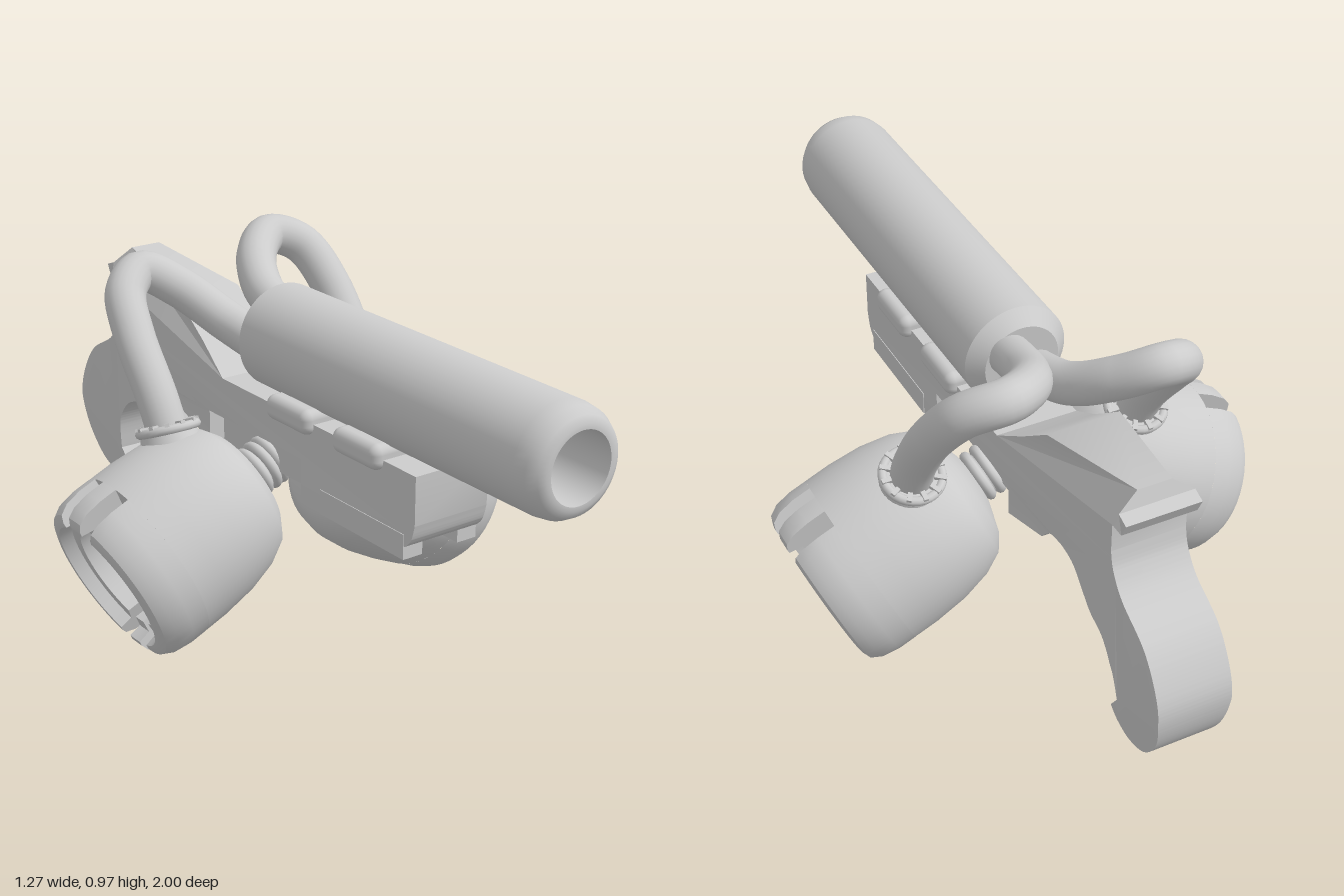
import * as THREE from 'three';
import { toCreasedNormals } from 'three/addons/utils/BufferGeometryUtils.js';
import { RoundedBoxGeometry } from 'three/addons/geometries/RoundedBoxGeometry.js';

const grey = new THREE.MeshStandardMaterial({ color: 0xcccccc });
const greyBoth = new THREE.MeshStandardMaterial({ color: 0xcccccc, side: THREE.DoubleSide });
const v2 = ([x, y]) => new THREE.Vector2(x, y);
const v3 = (p) => new THREE.Vector3(...p);

function add(parent, name, geometry, x = 0, y = 0, z = 0, material = grey) {
  const mesh = new THREE.Mesh(geometry, material);
  mesh.name = name;
  mesh.position.set(x, y, z);
  parent.add(mesh);
  return mesh;
}

const lathe = (pts, start = 0, length = Math.PI * 2, seg = 48) =>
  toCreasedNormals(new THREE.LatheGeometry(pts.map(v2), seg, start, length), 0.6);

const tube = (pts, radius, seg = 48) =>
  new THREE.TubeGeometry(new THREE.CatmullRomCurve3(pts.map(v3)), seg, radius, 20);

// Extrudes a (z, y) side profile across x, then applies a width rule
function sideExtrude(shape, width, rule = () => 1) {
  const g = new THREE.ExtrudeGeometry(shape, { depth: width, bevelEnabled: false, curveSegments: 20 });
  g.translate(0, 0, -width / 2).rotateY(-Math.PI / 2);
  const p = g.attributes.position;
  for (let i = 0; i < p.count; i++) p.setX(i, p.getX(i) * rule(p.getZ(i), p.getY(i)));
  return toCreasedNormals(g, 0.5);
}

function makeFrame() {
  const s = new THREE.Shape();
  s.moveTo(0.58, 0.625);
  s.lineTo(0.58, 0.5);
  s.splineThru([[0.565, 0.455], [0.53, 0.427], [0.47, 0.41], [0.38, 0.402]].map(v2));
  // Side recess for the neck
  s.lineTo(0.13, 0.402);
  s.lineTo(0.13, 0.52);
  s.lineTo(-0.285, 0.52);
  s.lineTo(-0.285, 0.432);
  s.lineTo(-0.435, 0.468);
  // Trigger arch and front of the grip
  s.splineThru([[-0.475, 0.508], [-0.53, 0.518], [-0.59, 0.505], [-0.64, 0.46], [-0.68, 0.425],
    [-0.74, 0.395], [-0.785, 0.33], [-0.80, 0.24]].map(v2));
  s.lineTo(-0.765, 0.19);
  // Butt and back of the grip
  s.splineThru([[-0.795, 0.16], [-0.85, 0.147], [-0.92, 0.175], [-0.98, 0.255], [-1, 0.35],
    [-0.98, 0.43], [-0.92, 0.515], [-0.82, 0.575], [-0.775, 0.63], [-0.76, 0.68]].map(v2));
  // Spur and sloping top
  for (const [z, y] of [[-0.76, 0.757], [-0.80, 0.757], [-0.818, 0.795], [-0.785, 0.807],
    [-0.77, 0.845], [-0.45, 0.79], [-0.33, 0.70], [-0.22, 0.63]]) s.lineTo(z, y);
  s.closePath();
  return sideExtrude(s, 0.22, (z, y) => {
    if (y > 0.82) return 0.4;
    if (z < -0.3) return y < 0.5 ? 0.68 + 0.2 * Math.min(1, (y - 0.147) / 0.2) : 0.88;
    return 1;
  });
}

// Outer rim of a tank between two angles, with end walls
function addRim(parent, name, start, length) {
  const profile = [[0.242, -0.13], [0.242, -0.08], [0.235, -0.035], [0.22, -0.008], [0.2, 0],
    [0.187, 0], [0.18, -0.035], [0.147, -0.035], [0.147, -0.13]];
  add(parent, name, lathe(profile, start, length, Math.max(4, Math.round(length * 8))));
  for (const a of [start, start + length]) {
    const wall = new THREE.ShapeGeometry(new THREE.Shape(profile.map(v2)));
    add(parent, name + 'Wall', wall.rotateY(a - Math.PI / 2), 0, 0, 0, greyBoth);
  }
}

function makeTank(name) {
  const side = new THREE.Group();
  side.name = name;
  const tank = new THREE.Group();
  tank.name = 'tank';
  tank.position.set(0.552, 0.203, 0);
  tank.rotation.z = -1.995;
  side.add(tank);
  add(tank, 'tankBody', lathe([[0, -0.487], [0.07, -0.48], [0.15, -0.455], [0.19, -0.425], [0.217, -0.37],
    [0.235, -0.29], [0.242, -0.2], [0.242, -0.13], [0, -0.13]]));
  // Four rim pieces leave two slots at the top and two at the bottom
  const inner = 0.125, outer = 0.335, h = Math.PI / 2;
  for (const a of [h, 3 * h]) {
    addRim(tank, 'rimTooth', a - inner, inner * 2);
    addRim(tank, 'rimArc', a + outer, Math.PI - outer * 2);
  }
  // Ribs around the neck
  for (const y of [-0.495, -0.525, -0.55])
    add(tank, 'neckRib', new THREE.TorusGeometry(0.058, 0.014, 10, 32).rotateX(h), 0, y, 0);
  return side;
}

function addHose(parent, name, pts) {
  const hose = new THREE.Group();
  hose.name = name;
  parent.add(hose);
  add(hose, 'hoseTube', tube(pts, 0.054, 64));
  // Slatted collar on the tank
  const collar = new THREE.Group();
  collar.name = 'hoseCollar';
  collar.position.set(pts[0][0], 0.54, -0.172);
  collar.rotation.x = -0.38;
  hose.add(collar);
  add(collar, 'collarBase', new THREE.CylinderGeometry(0.07, 0.085, 0.06, 32), 0, -0.015, 0);
  add(collar, 'collarRing', new THREE.TorusGeometry(0.074, 0.012, 10, 32).rotateX(Math.PI / 2), 0, 0.01, 0);
  for (let i = 0; i < 12; i++) {
    const a = (i / 12) * Math.PI * 2;
    const slat = add(collar, 'collarSlat', new THREE.BoxGeometry(0.03, 0.016, 0.012),
      Math.cos(a) * 0.068, 0.018, Math.sin(a) * 0.068);
    slat.rotation.y = -a;
  }
}

export function createModel() {
  const model = new THREE.Group();
  model.name = 'twinTankBlaster';

  // Frame with grip
  add(model, 'frame', makeFrame());
  add(model, 'frameCore', new THREE.BoxGeometry(0.13, 0.11, 0.43), 0, 0.475, -0.08);
  const t = new THREE.Shape([[-0.49, 0.53], [-0.535, 0.49], [-0.56, 0.44], [-0.533, 0.37],
    [-0.625, 0.392], [-0.637, 0.44], [-0.62, 0.49], [-0.58, 0.53]].map(v2));
  add(model, 'trigger', sideExtrude(t, 0.08));
  for (const s of [-1, 1])
    add(model, 'lowerRail', new THREE.BoxGeometry(0.058, 0.065, 0.33), s * 0.083, 0.433, 0.377);

  // Barrel with bore
  const barrel = lathe([[0, -0.137], [0.1, -0.137], [0.137, -0.1], [0.137, 0.93], [0.132, 0.965],
    [0.118, 0.99], [0.1, 1], [0.088, 1], [0.088, 0.6], [0, 0.6]]);
  add(model, 'barrel', barrel.rotateX(Math.PI / 2), 0, 0.762, 0);
  for (const z of [0.37, 0.093])
    add(model, 'barrelClip', new RoundedBoxGeometry(0.274, 0.066, 0.178, 4, 0.025), 0, 0.629, z);

  // Tanks, the right one being the left one turned half round
  const tanks = new THREE.Group();
  tanks.name = 'tanks';
  tanks.position.z = -0.094;
  const left = makeTank('leftTank'), right = makeTank('rightTank');
  right.rotation.y = Math.PI;
  tanks.add(left, right);
  add(tanks, 'neck', tube([[-0.16, 0.375, 0], [-0.08, 0.412, 0], [0, 0.427, 0], [0.08, 0.412, 0], [0.16, 0.375, 0]], 0.058));
  model.add(tanks);

  // Hoses from the tanks to the back of the barrel
  addHose(model, 'leftHose', [[0.318, 0.5, -0.155], [0.325, 0.62, -0.215], [0.32, 0.78, -0.325], [0.28, 0.885, -0.41],
    [0.2, 0.918, -0.445], [0.115, 0.89, -0.385], [0.055, 0.835, -0.27], [0.03, 0.785, -0.1]]);
  addHose(model, 'rightHose', [[-0.308, 0.5, -0.155], [-0.313, 0.62, -0.215], [-0.31, 0.76, -0.325], [-0.28, 0.85, -0.41],
    [-0.21, 0.885, -0.445], [-0.13, 0.84, -0.39], [-0.06, 0.765, -0.27], [-0.03, 0.72, -0.1]]);
  return model;
}
